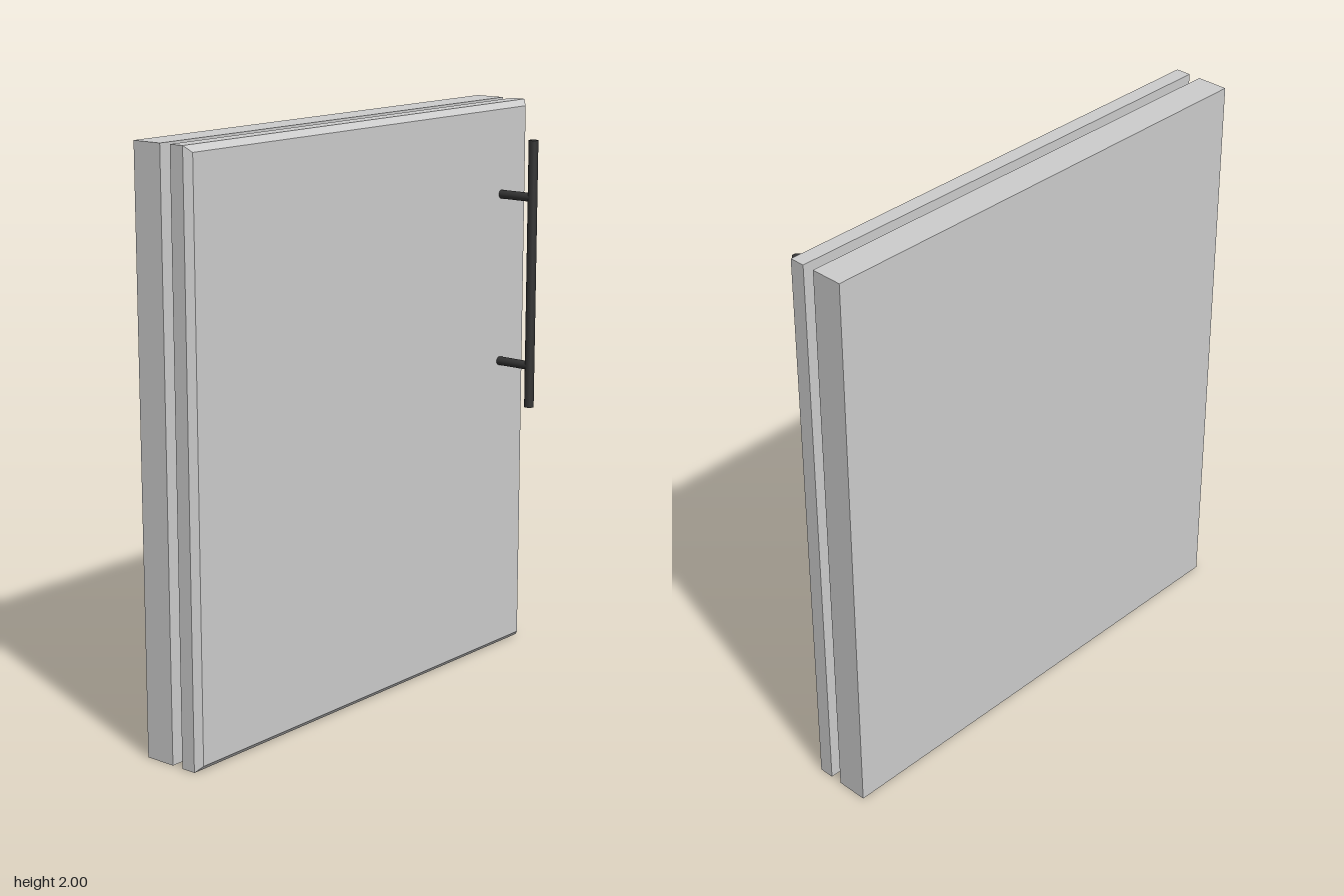
import * as THREE from 'three';

const W = 1.74, H = 2;
const grey = new THREE.MeshStandardMaterial({ color: 0xcccccc, flatShading: true });
const dark = new THREE.MeshStandardMaterial({ color: 0x333333 });

// Closed solid lofted from rectangles, each given as [inset from the edge, z]
function rectLoft(rings) {
  const pos = [], index = [];
  for (const [inset, z] of rings) {
    const x = W / 2 - inset, y = H / 2 - inset;
    pos.push(-x, -y, z, x, -y, z, x, y, z, -x, y, z);
  }
  const quad = (a, b, c, d) => index.push(a, b, c, a, c, d);
  quad(3, 2, 1, 0);
  for (let r = 0; r < rings.length - 1; r++) {
    for (let i = 0; i < 4; i++) {
      const a = r * 4 + i, b = r * 4 + (i + 1) % 4;
      quad(a, b, b + 4, a + 4);
    }
  }
  const e = (rings.length - 1) * 4;
  quad(e, e + 1, e + 2, e + 3);
  const g = new THREE.BufferGeometry();
  g.setAttribute('position', new THREE.Float32BufferAttribute(pos, 3));
  g.setIndex(index);
  const flat = g.toNonIndexed();
  flat.computeVertexNormals();
  return flat;
}

function addMesh(parent, name, geometry, material, x, y, z) {
  const mesh = new THREE.Mesh(geometry, material);
  mesh.name = name;
  mesh.position.set(x, y, z);
  parent.add(mesh);
  return mesh;
}

export function createModel() {
  const model = new THREE.Group();
  model.name = 'cabinetDoor';

  // Plain slab behind the door
  addMesh(model, 'backPanel', new THREE.BoxGeometry(W, H, 0.111), grey, 0, H / 2, -0.1335);

  // Door leaf: recessed back with a rim, straight sides, chamfered front
  const door = rectLoft([
    [0.045, -0.006], [0.045, -0.036], [0, -0.036], [0, 0.017], [0.021, 0.038],
  ]);
  addMesh(model, 'doorPanel', door, grey, 0, H / 2, 0);

  // Bar handle on two posts
  const handle = new THREE.Group();
  handle.name = 'handle';
  model.add(handle);
  const x = 0.712, barZ = 0.172, doorZ = 0.036;
  addMesh(handle, 'handleBar', new THREE.CylinderGeometry(0.017, 0.017, 0.95, 24), dark, x, 1.405, barZ);
  for (const y of [1.08, 1.68]) {
    const post = addMesh(handle, 'handlePost',
      new THREE.CylinderGeometry(0.0155, 0.0155, barZ - doorZ, 24), dark, x, y, (barZ + doorZ) / 2);
    post.rotation.x = Math.PI / 2;
  }
  return model;
}
